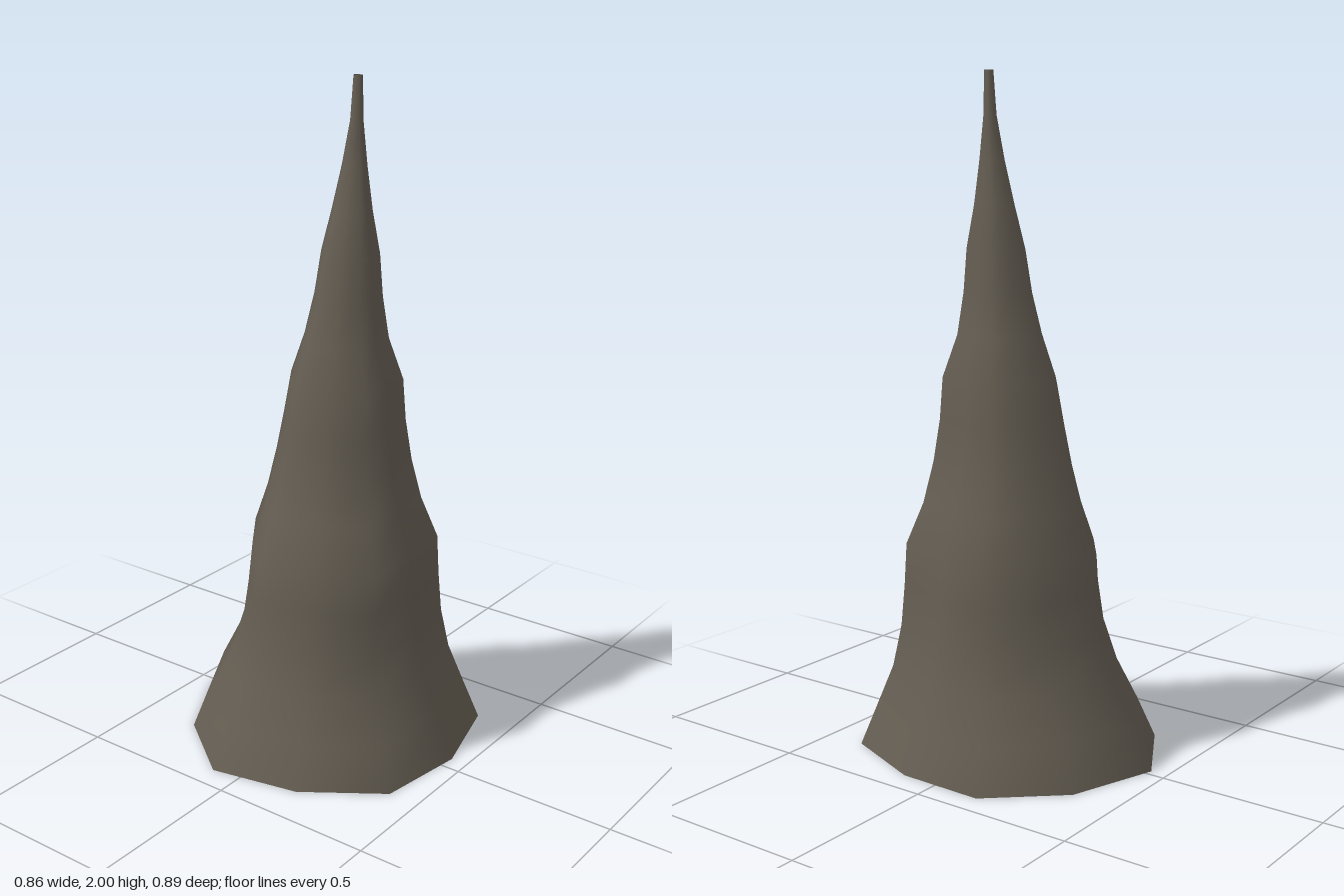
import * as THREE from 'three';

// Irregular ten-sided outline of the foot, as x, z
const OUTLINE = [
  [0.43, -0.15], [0.425, 0.115], [0.32, 0.375], [0.05, 0.447], [-0.22, 0.405],
  [-0.375, 0.18], [-0.43, -0.09], [-0.265, -0.31], [-0.02, -0.447], [0.25, -0.355],
];

// Extents of each ring: y, min x, max x, min z, max z
const RINGS = [
  [0, -0.43, 0.427, -0.447, 0.447],
  [0.125, -0.378, 0.383, -0.395, 0.392],
  [0.25, -0.325, 0.343, -0.33, 0.336],
  [0.375, -0.295, 0.318, -0.287, 0.307],
  [0.5, -0.28, 0.305, -0.273, 0.294],
  [0.625, -0.27, 0.295, -0.264, 0.285],
  [0.75, -0.213, 0.255, -0.222, 0.238],
  [0.875, -0.175, 0.226, -0.19, 0.212],
  [1, -0.148, 0.205, -0.163, 0.197],
  [1.125, -0.13, 0.198, -0.14, 0.187],
  [1.25, -0.085, 0.161, -0.094, 0.149],
  [1.375, -0.052, 0.143, -0.064, 0.132],
  [1.5, -0.03, 0.134, -0.045, 0.123],
  [1.625, 0.008, 0.115, -0.015, 0.102],
  [1.75, 0.038, 0.104, 0.012, 0.085],
  [1.875, 0.06, 0.097, 0.034, 0.071],
  [2, 0.071, 0.096, 0.041, 0.067],
];

// One ring: the outline with every other corner drawn in, fitted to its extents
function ringPoints([y, x0, x1, z0, z1]) {
  const flute = 1 - 0.09 * Math.min(1, y / 0.625);
  const pts = OUTLINE.map(([x, z], i) => (i % 2 ? [x * flute, z * flute] : [x, z]));
  const xs = pts.map((p) => p[0]);
  const zs = pts.map((p) => p[1]);
  const fit = THREE.MathUtils.mapLinear;
  return pts.flatMap(([x, z]) => [
    fit(x, Math.min(...xs), Math.max(...xs), x0, x1),
    y,
    fit(z, Math.min(...zs), Math.max(...zs), z0, z1),
  ]);
}

// Open skin lofted through the rings
function loftGeometry() {
  const n = OUTLINE.length;
  const index = [];
  for (let r = 0; r < RINGS.length - 1; r++) {
    for (let i = 0; i < n; i++) {
      const a = r * n + i;
      const b = r * n + ((i + 1) % n);
      index.push(a, a + n, b, b, a + n, b + n);
    }
  }
  const geometry = new THREE.BufferGeometry();
  geometry.setAttribute('position', new THREE.Float32BufferAttribute(RINGS.flatMap(ringPoints), 3));
  geometry.setIndex(index);
  geometry.computeVertexNormals();
  return geometry;
}

export function createModel() {
  const group = new THREE.Group();
  group.name = 'stalagmite';

  const stone = new THREE.MeshStandardMaterial({ color: 0x645d52, side: THREE.DoubleSide });
  stone.name = 'stone';

  // Hollow rock spire, open at the foot and the tip
  const spire = new THREE.Mesh(loftGeometry(), stone);
  spire.name = 'rockSpire';
  group.add(spire);
  return group;
}
